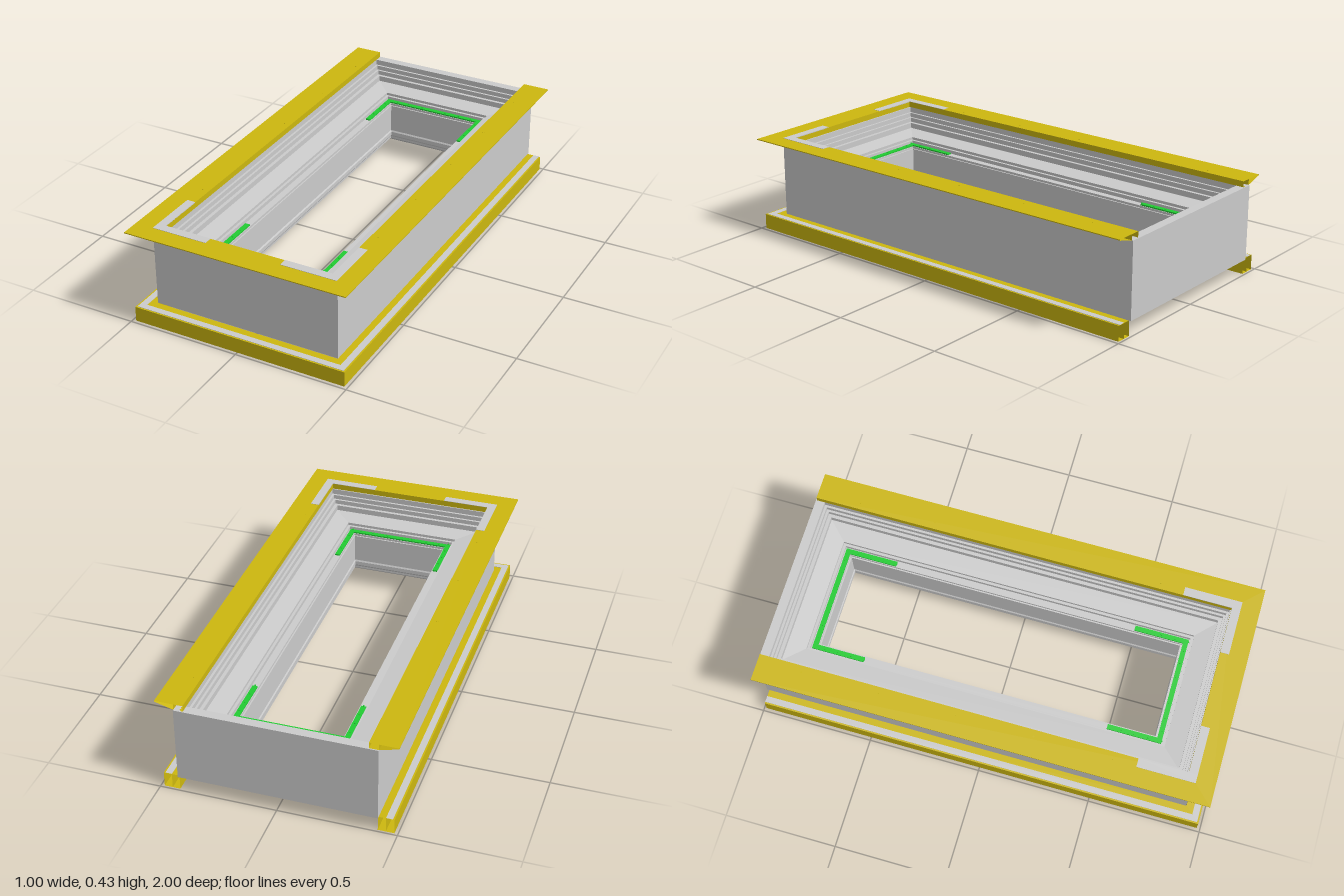
import * as THREE from 'three';

const material = (color, side = THREE.FrontSide) =>
  new THREE.MeshStandardMaterial({ color, side, flatShading: true });
const GREY = material(0xcccccc);
const YELLOW = material(0xccb70f, THREE.DoubleSide);
const GREEN = material(0x22cc33);

// Sweeps a profile of [outward offset, height] around the rectangle with mitred corners.
// Without "closed" the back side is left out, giving a U that ends flat at zBack.
function sweep(profile, { closed = false, zFront = 0.915, zBack = -1 } = {}) {
  const corner = (k, [o, y]) => {
    const x = 0.42 + o;
    const back = closed ? zBack - o : zBack;
    return [
      [x, y, back], [x, y, zFront + o], [-x, y, zFront + o], [-x, y, back],
    ][k % 4];
  };
  const positions = [];
  const sides = closed ? 4 : 3;
  for (let k = 0; k < sides; k++) {
    profile.forEach((p, j) => {
      const q = profile[(j + 1) % profile.length];
      const a = corner(k, p), b = corner(k, q), c = corner(k + 1, p), d = corner(k + 1, q);
      positions.push(...a, ...b, ...c, ...c, ...b, ...d);
    });
  }
  const geometry = new THREE.BufferGeometry();
  geometry.setAttribute('position', new THREE.Float32BufferAttribute(positions, 3));
  geometry.computeVertexNormals();
  return geometry;
}

export function createModel() {
  const model = new THREE.Group();
  const add = (name, geometry, mat) => {
    const mesh = new THREE.Mesh(geometry, mat);
    mesh.name = name;
    model.add(mesh);
    return mesh;
  };
  // Box given by its limits on each axis
  const box = (name, mat, [x0, x1], [y0, y1], [z0, z1]) =>
    add(name, new THREE.BoxGeometry(x1 - x0, y1 - y0, z1 - z0), mat)
      .position.set((x0 + x1) / 2, (y0 + y1) / 2, (z0 + z1) / 2);
  const screw = (name, mat, x, y, z) =>
    add(name, new THREE.CylinderGeometry(0.004, 0.004, 0.004, 8), mat).position.set(x, y, z);

  // Main frame: outer wall, stepped rebate, sloping ledge, inner wall, flared underside
  add('frameBody', sweep([
    [0, 0.067], [0, 0.4], [-0.04, 0.4], [-0.04, 0.375], [-0.05, 0.375], [-0.05, 0.355],
    [-0.06, 0.355], [-0.06, 0.335], [-0.075, 0.335], [-0.075, 0.31],
    [-0.158, 0.3], [-0.158, 0.288], [-0.17, 0.288], [-0.17, 0.272],
    [-0.2, 0.272], [-0.2, 0.262], [-0.206, 0.262], [-0.206, 0.09], [-0.175, 0.067],
  ], { closed: true }), GREY);

  // Raised band around the inner wall
  add('innerBand', sweep([
    [-0.204, 0.1], [-0.204, 0.132], [-0.206, 0.132], [-0.21, 0.125], [-0.21, 0.107], [-0.206, 0.1],
  ], { closed: true }), GREY);

  // Top trim: bevelled hollow section on three sides, open at the back
  const top = { zFront: 0.92, zBack: -0.995 };
  add('topTrim', sweep([
    [0, 0.4], [0.08, 0.422], [0.08, 0.426], [-0.04, 0.426], [-0.04, 0.4],
  ], top), YELLOW);
  add('topTrimWeb', sweep([[0, 0.4], [0, 0.426]], top), YELLOW);

  // Bottom trim: square hollow section with an inner web
  const bottom = { zFront: 0.92, zBack: -0.99 };
  add('bottomTrim', sweep([
    [-0.003, 0], [0.065, 0], [0.065, 0.067], [-0.003, 0.067],
  ], bottom), YELLOW);
  add('bottomTrimWeb', sweep([[0.03, 0], [0.03, 0.067]], bottom), YELLOW);
  add('bottomTrimStrip', sweep([
    [0.03, 0.066], [0.058, 0.066], [0.058, 0.0685], [0.03, 0.0685],
  ], bottom), GREY);

  for (const s of [1, -1]) {
    const span = (a, b) => (s > 0 ? [a, b] : [-b, -a]);

    // Corner plates on the top trim
    box('cornerPlateSide', GREY, span(0.38, 0.418), [0.424, 0.4275], [0.665, 0.918]);
    box('cornerPlateFront', GREY, span(0.17, 0.38), [0.424, 0.4275], [0.88, 0.918]);

    // Green corner strips on the lower step
    box('stripBackSide', GREEN, span(0.223, 0.245), [0.27, 0.278], [-0.825, -0.59]);
    box('stripFrontSide', GREEN, span(0.223, 0.245), [0.27, 0.278], [0.5, 0.74]);
    for (let i = 0; i < 4; i++) {
      screw('stripScrew', GREEN, s * 0.234, 0.279, -0.77 + i * 0.06);
      screw('stripScrew', GREEN, s * 0.234, 0.279, 0.56 + i * 0.06);
    }
    for (const x of [0.06, 0.13, 0.19]) {
      screw('stripScrew', GREEN, s * x, 0.279, -0.814);
      screw('stripScrew', GREEN, s * x, 0.279, 0.729);
    }
    // Screws along the top trim
    for (let i = 0; i < 5; i++) screw('trimScrew', YELLOW, s * 0.41, 0.425, -0.8 + i * 0.34);
  }
  box('stripBack', GREEN, [-0.223, 0.223], [0.27, 0.278], [-0.825, -0.803]);
  box('stripFront', GREEN, [-0.223, 0.223], [0.27, 0.278], [0.718, 0.74]);

  return model;
}
